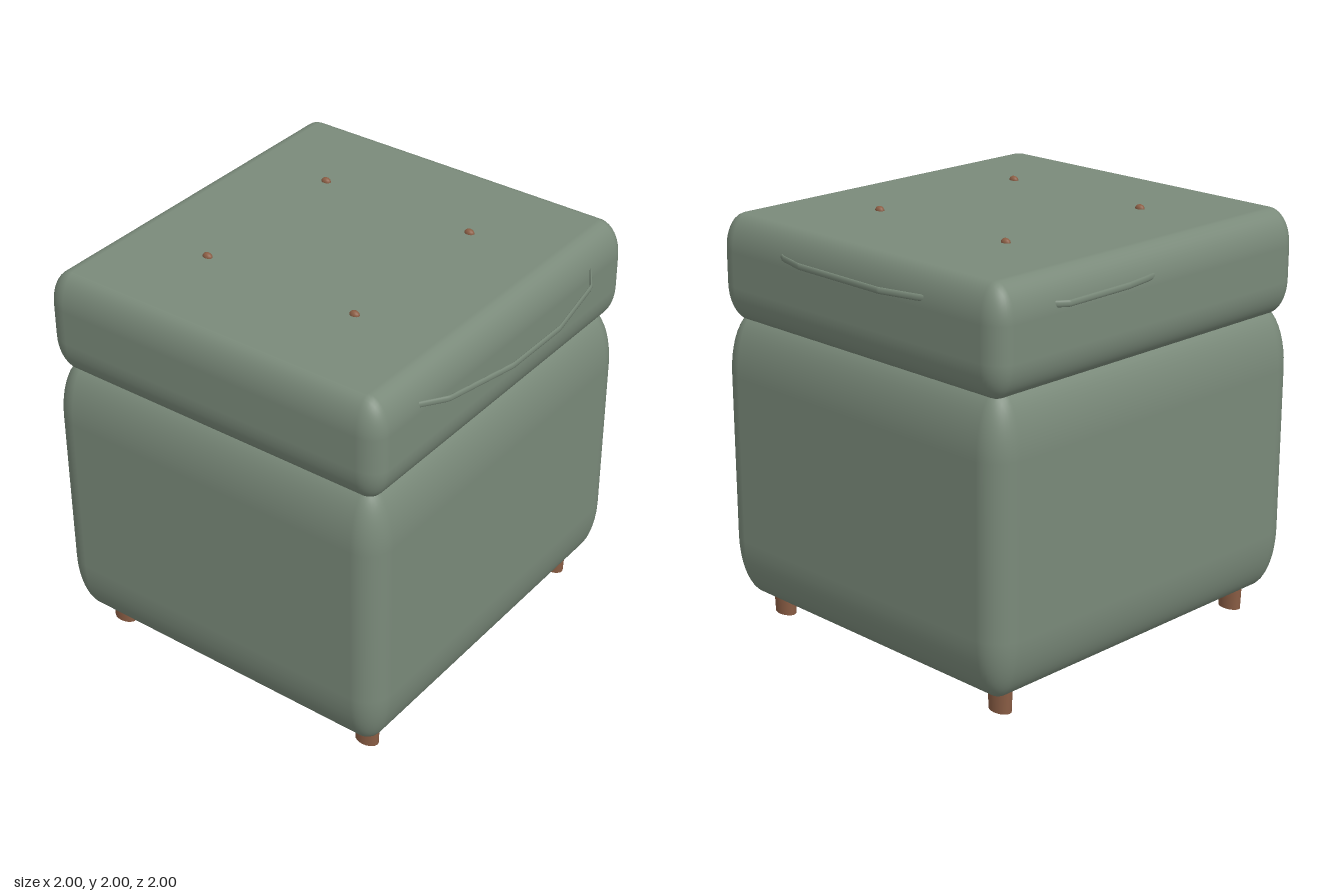
import * as THREE from 'three';
import { RoundedBoxGeometry } from 'three/addons/geometries/RoundedBoxGeometry.js';

const fabric = new THREE.MeshStandardMaterial({ color: 0x7a8a7a });
const wood = new THREE.MeshStandardMaterial({ color: 0x8b5e45 });

// Box between two corners, with a separate rounding radius along each axis
function softBox(min, max, radii) {
  const size = max.map((v, i) => v - min[i]);
  const geo = new RoundedBoxGeometry(...size.map((s, i) => s / radii[i]), 5, 1);
  geo.scale(...radii);
  geo.translate(...min.map((v, i) => (v + max[i]) / 2));
  return geo;
}

// Flat strap following straight runs between [x, z] points
function strap(points) {
  const path = new THREE.CatmullRomCurve3(
    points.map(([x, z]) => new THREE.Vector3(x, 0, z)), false, 'catmullrom', 0);
  const geo = new THREE.TubeGeometry(path, 80, 0.006, 10);
  geo.scale(1, 2.5, 1);
  geo.translate(0, 1.85, 0);
  return geo;
}

export function createModel() {
  const group = new THREE.Group();
  const add = (name, geo, material) => {
    const mesh = new THREE.Mesh(geo, material);
    mesh.name = name;
    group.add(mesh);
    return mesh;
  };

  // Upholstered base and cushioned lid
  add('body', softBox([-1, 0.11, -0.97], [0.955, 1.52, 0.855], [0.13, 0.3, 0.13]), fabric);
  add('lid', softBox([-0.985, 1.475, -0.965], [0.945, 1.98, 0.85], [0.09, 0.17, 0.11]), fabric);

  // Straps on the front, right and back of the lid
  add('frontStrap', strap([[-0.72, 0.82], [-0.575, 0.917], [-0.21, 0.992], [0.15, 0.992],
    [0.52, 0.922], [0.68, 0.82]]), fabric);
  add('rightStrap', strap([[0.92, 0.44], [0.95, 0.37], [0.985, 0.23], [0.992, -0.295],
    [0.95, -0.47], [0.925, -0.56]]), fabric);
  add('backStrap', strap([[0, -0.955], [0.055, -0.967], [0.19, -0.987], [0.565, -0.993],
    [0.6, -0.967], [0.63, -0.94]]), fabric);

  // Oval tapered legs
  for (const x of [-0.807, 0.76]) {
    for (const z of [-0.787, 0.677]) {
      const leg = add('leg', new THREE.CylinderGeometry(0.07, 0.06, 0.24, 20), wood);
      leg.scale.x = 0.66;
      leg.position.set(x, 0.12, z);
    }
  }

  // Tufting buttons
  for (const x of [-0.455, 0.407]) {
    for (const z of [-0.465, 0.343]) {
      const button = add('button', new THREE.SphereGeometry(1, 16, 10), wood);
      button.scale.set(0.018, 0.02, 0.025);
      button.position.set(x, 1.98, z);
    }
  }
  return group;
}
